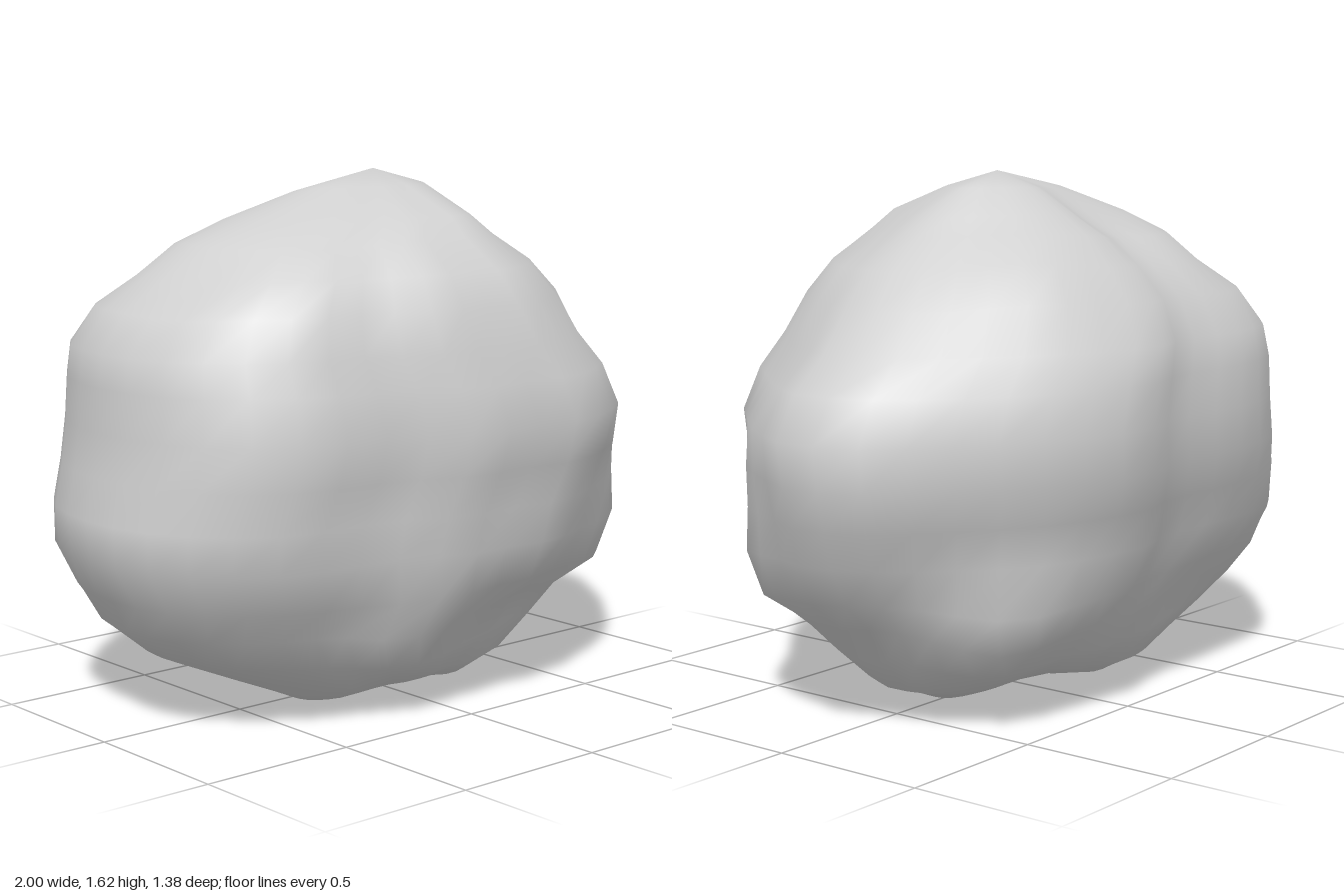
import * as THREE from 'three';

// Outline seen from above (x, z), running left, back, right, front
const PLAN = [
  [-1, 0.08], [-1, -0.1], [-0.95, -0.3], [-0.87, -0.43], [-0.67, -0.6], [-0.36, -0.66],
  [-0.2, -0.645], [-0.03, -0.645], [0.12, -0.69], [0.42, -0.63], [0.62, -0.52], [0.78, -0.4],
  [0.88, -0.33], [0.96, -0.23], [1, -0.1], [1, 0], [0.9, 0.2], [0.85, 0.3], [0.72, 0.42],
  [0.57, 0.55], [0.4, 0.64], [0.28, 0.69], [0.1, 0.665], [-0.05, 0.675], [-0.2, 0.645],
  [-0.35, 0.57], [-0.63, 0.52], [-0.8, 0.41], [-0.93, 0.28],
];

// Horizontal sections: y, left x, right x, back z, front z
const RINGS = [
  [0.005, -0.3, 0.3, -0.13, 0.17], [0.05, -0.4, 0.41, -0.26, 0.29],
  [0.1, -0.52, 0.56, -0.4, 0.36], [0.2, -0.75, 0.68, -0.48, 0.45],
  [0.3, -0.87, 0.79, -0.52, 0.48], [0.4, -0.92, 0.88, -0.58, 0.57],
  [0.53, -1, 0.92, -0.615, 0.62], [0.65, -1, 0.96, -0.65, 0.63],
  [0.77, -0.965, 0.995, -0.69, 0.66], [0.9, -0.955, 1, -0.69, 0.69],
  [1.03, -0.945, 0.94, -0.685, 0.66], [1.13, -0.94, 0.82, -0.655, 0.63],
  [1.25, -0.88, 0.71, -0.59, 0.59], [1.35, -0.77, 0.59, -0.49, 0.53],
  [1.44, -0.65, 0.47, -0.39, 0.42], [1.5, -0.47, 0.38, -0.31, 0.34],
  [1.58, -0.2, 0.28, -0.2, 0.1],
];

// Local swellings and hollows: x, y, z, radius, height
const DENTS = [
  // front, low
  [-0.25, 0.25, 0.46, 0.17, 0.05], [0.27, 0.22, 0.46, 0.18, -0.05], [-0.25, 0.5, 0.6, 0.13, -0.02],
  // right side
  [0.74, 0.45, 0.4, 0.22, 0.085], [0.78, 1.03, 0.3, 0.22, -0.055], [0.78, 0.35, -0.15, 0.18, -0.06],
  // left side
  [-0.74, 0.82, 0.42, 0.24, 0.04], [-0.75, 1.28, 0.12, 0.18, -0.05], [-0.72, 0.48, -0.4, 0.2, 0.05],
  // back, low
  [0.5, 0.27, -0.45, 0.19, 0.085], [-0.42, 0.3, -0.42, 0.18, -0.055],
  [0.22, 0.08, -0.3, 0.17, -0.055], [-0.2, 0.05, -0.24, 0.12, 0.025],
  // top, left and back
  [-0.55, 1.27, -0.32, 0.25, -0.06], [-0.42, 1.42, 0.25, 0.18, -0.03], [-0.17, 1.48, -0.25, 0.17, -0.045],
  // top, right
  [0.36, 1.3, -0.4, 0.18, 0.04], [0.32, 1.4, 0.16, 0.17, -0.025],
  // hollow between the two feet
  [0, 0, 0.17, 0.14, -0.04], [0, 0, -0.13, 0.14, -0.03],
];

function dent(p) {
  const out = p.clone().sub(new THREE.Vector3(0, 0.8, 0)).normalize();
  let d = 0;
  for (const [x, y, z, r, h] of DENTS) {
    d += h * Math.exp(-p.distanceToSquared(new THREE.Vector3(x, y, z)) / (r * r));
  }
  return p.addScaledVector(out, d);
}

function rockGeometry() {
  const n = 40;
  const curve = new THREE.CatmullRomCurve3(PLAN.map(([x, z]) => new THREE.Vector3(x, 0, z)), true);
  const outline = curve.getSpacedPoints(n).slice(0, n);
  const pos = [], index = [];

  for (const [y, x0, x1, z0, z1] of RINGS) {
    for (const o of outline) {
      const p = new THREE.Vector3(
        (x0 + x1) / 2 + o.x * (x1 - x0) / 2, y,
        (z0 + z1) / 2 + (o.z / 0.69) * (z1 - z0) / 2);
      pos.push(...dent(p).toArray());
    }
  }
  const bottom = pos.length / 3, top = bottom + 1, last = (RINGS.length - 1) * n;
  pos.push(0, 0.045, 0.02, 0.1, 1.625, -0.07);

  for (let j = 0; j < n; j++) {
    const k = (j + 1) % n;
    for (let i = 0; i < last; i += n) {
      index.push(i + j, i + n + j, i + k, i + k, i + n + j, i + n + k);
    }
    index.push(j, k, bottom, last + j, top, last + k);
  }

  const geometry = new THREE.BufferGeometry();
  geometry.setAttribute('position', new THREE.Float32BufferAttribute(pos, 3));
  geometry.setIndex(index);
  geometry.computeVertexNormals();
  return geometry;
}

export function createModel() {
  const stone = new THREE.MeshStandardMaterial({ color: 0xd0d0d0 });
  stone.name = 'grey stone';
  const rock = new THREE.Mesh(rockGeometry(), stone);
  rock.name = 'rock';
  const group = new THREE.Group();
  group.name = 'boulder';
  group.add(rock);
  return group;
}
